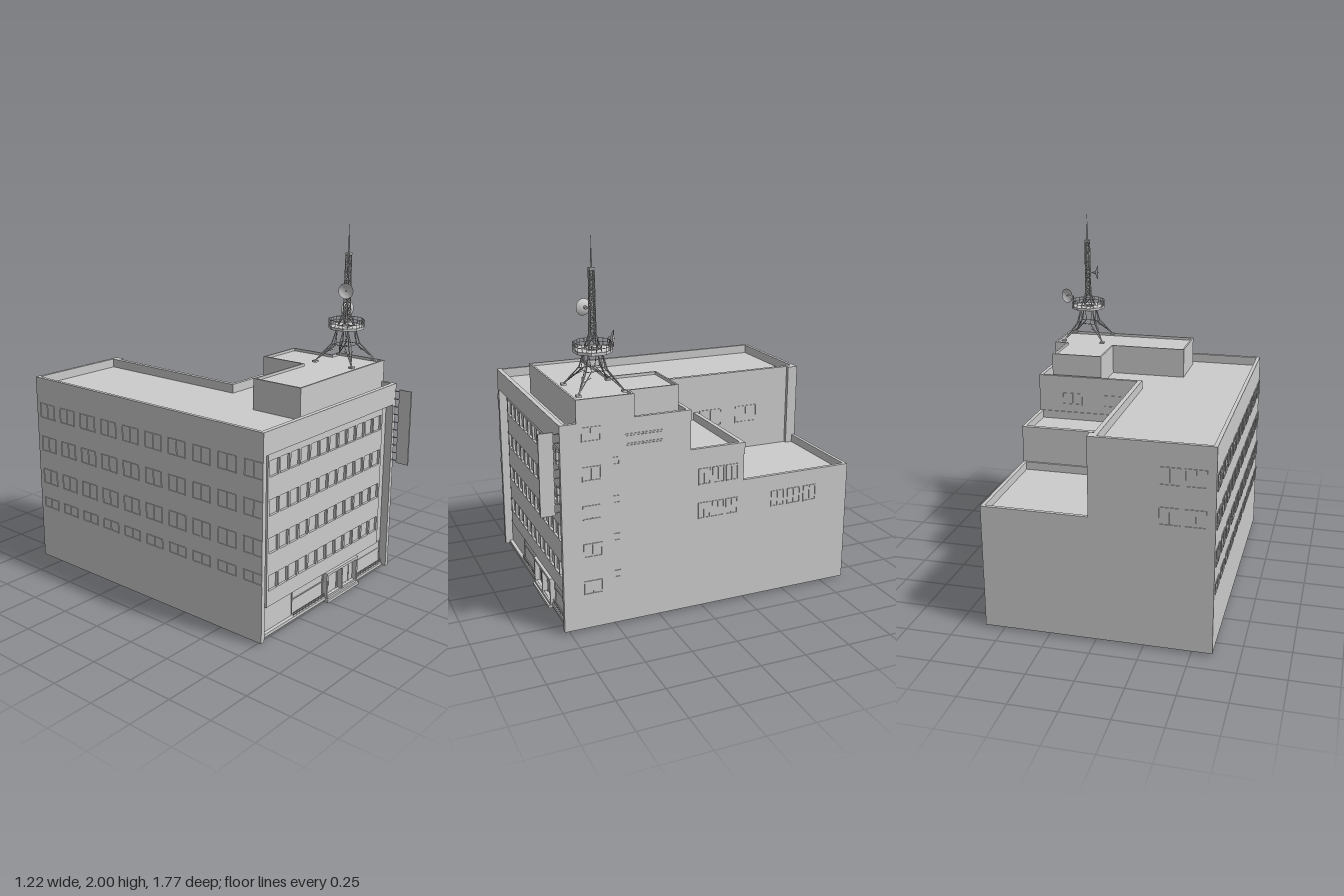
import * as THREE from 'three';

const material = new THREE.MeshStandardMaterial({ color: 0xcccccc, flatShading: true, side: THREE.DoubleSide });
const smooth = new THREE.MeshStandardMaterial({ color: 0xcccccc, side: THREE.DoubleSide });

function add(parent, name, geometry, mat = material) {
  const mesh = new THREE.Mesh(geometry, mat);
  mesh.name = name;
  parent.add(mesh);
  return mesh;
}

// Box given by its limits on each axis
function box(parent, name, x0, x1, y0, y1, z0, z1) {
  const mesh = add(parent, name, new THREE.BoxGeometry(x1 - x0, y1 - y0, z1 - z0));
  mesh.position.set((x0 + x1) / 2, (y0 + y1) / 2, (z0 + z1) / 2);
  return mesh;
}

// Plan outline of [x, z] corners raised from y0 to y1, with an optional hole
function slab(parent, name, outline, y0, y1, hole) {
  const points = (list) => list.map(([x, z]) => new THREE.Vector2(x, -z));
  const shape = new THREE.Shape(points(outline));
  if (hole) shape.holes.push(new THREE.Path(points(hole)));
  const geometry = new THREE.ExtrudeGeometry(shape, { depth: y1 - y0, bevelEnabled: false });
  geometry.rotateX(-Math.PI / 2).translate(0, y0, 0);
  return add(parent, name, geometry);
}

const rect = (x0, x1, z0, z1) => [[x0, z0], [x1, z0], [x1, z1], [x0, z1]];

function rectPath(x, y, w, h, Type = THREE.Path) {
  return new Type([[x, y], [x + w, y], [x + w, y + h], [x, y + h]].map(([a, b]) => new THREE.Vector2(a, b)));
}

// Thin round bar between two points
function bar(parent, name, a, b, r, sides = 5) {
  const from = new THREE.Vector3(...a), to = new THREE.Vector3(...b);
  const dir = to.clone().sub(from);
  const mesh = add(parent, name, new THREE.CylinderGeometry(r, r, dir.length(), sides));
  mesh.position.copy(from).add(to).multiplyScalar(0.5);
  mesh.quaternion.setFromUnitVectors(new THREE.Vector3(0, 1, 0), dir.normalize());
  return mesh;
}

// Framed window with panes, centred on a point of a wall turned by angle about y
function windowFrame(parent, x, y, z, angle, w, h, panes = 2) {
  const shape = rectPath(-w / 2, -h / 2, w, h, THREE.Shape);
  const t = 0.005, pane = (w - t) / panes;
  for (let i = 0; i < panes; i++) shape.holes.push(rectPath(-w / 2 + t + i * pane, -h / 2 + t, pane - t, h - 2 * t));
  const mesh = add(parent, 'window', new THREE.ExtrudeGeometry(shape, { depth: 0.005, bevelEnabled: false }));
  mesh.geometry.translate(0, 0, -0.001);
  mesh.position.set(x, y, z);
  mesh.rotation.y = angle;
}

function buildBody(g) {
  // Main L-shaped block, then the stepped rear wings
  slab(g, 'mainBlock', [[-0.61, 0.735], [0.6, 0.735], [0.6, 0.1], [0, 0.1], [0, -0.88], [-0.61, -0.88]], 0.02, 1.07);
  slab(g, 'mainParapet',
    [[-0.61, 0.78], [0.6, 0.78], [0.6, 0.08], [0.01, 0.08], [0.01, -0.82], [0.03, -0.82], [0.03, -0.88], [-0.61, -0.88]], 1.0, 1.12,
    [[-0.59, 0.755], [0.58, 0.755], [0.58, 0.1], [-0.015, 0.1], [-0.015, -0.86], [-0.59, -0.86]]);
  box(g, 'rearPier', 0, 0.03, 0.6, 1.0, -0.88, -0.82);
  box(g, 'innerWall', -0.015, 0.01, 0.02, 1.0, -0.88, 0.1);
  box(g, 'crossWall', 0, 0.6, 0.02, 1.0, 0.08, 0.11);
  box(g, 'middleWing', 0, 0.6, 0.02, 0.86, -0.23, 0.09);
  slab(g, 'middleParapet', rect(0.005, 0.6, -0.235, 0.09), 0.84, 0.905, rect(0.01, 0.58, -0.21, 0.075));
  box(g, 'rearWing', 0, 0.6, 0.02, 0.65, -0.88, -0.22);
  slab(g, 'rearParapet', rect(0.005, 0.6, -0.88, -0.225), 0.63, 0.695, rect(0.01, 0.58, -0.86, -0.24));
  slab(g, 'baseRim', rect(-0.61, 0.6, -0.88, 0.755), 0.013, 0.03, rect(-0.59, 0.58, -0.86, 0.735));

  // Penthouse
  slab(g, 'penthouse', [[-0.2, 0.695], [0.6, 0.695], [0.6, 0.39], [0.53, 0.39], [0.53, 0.12], [0.235, 0.12], [0.235, 0.39], [-0.2, 0.39]], 1.05, 1.225);
  slab(g, 'penthouseRim',
    [[-0.2, 0.695], [0.6, 0.695], [0.6, 0.39], [0.53, 0.39], [0.53, 0.12], [0.235, 0.12], [0.235, 0.39], [-0.2, 0.39]], 1.22, 1.24,
    [[-0.19, 0.685], [0.59, 0.685], [0.59, 0.4], [0.52, 0.4], [0.52, 0.13], [0.245, 0.13], [0.245, 0.4], [-0.19, 0.4]]);
}

function buildFront(g) {
  box(g, 'topBand', -0.61, 0.6, 1.0, 1.07, 0.72, 0.78);
  box(g, 'rightFin', -0.61, -0.585, 0.013, 1.0, 0.72, 0.78);
  box(g, 'leftFin', 0.575, 0.6, 0.013, 1.0, 0.72, 0.78);

  // Facade plate with four rows of windows
  const plate = rectPath(-0.53, 0.17, 1.05, 0.83, THREE.Shape);
  for (let row = 0; row < 4; row++)
    for (let i = 0; i < 12; i++) plate.holes.push(rectPath(-0.515 + i * 0.086, 0.255 + row * 0.203, 0.074, 0.085));
  add(g, 'windowFacade', new THREE.ExtrudeGeometry(plate, { depth: 0.015, bevelEnabled: false })).position.z = 0.733;

  // Entrance porch and doors
  box(g, 'entranceStep', -0.01, 0.295, 0, 0.016, 0.71, 0.775);
  box(g, 'entranceLanding', 0, 0.285, 0.016, 0.028, 0.71, 0.765);
  box(g, 'porchCanopy', -0.01, 0.295, 0.155, 0.17, 0.73, 0.765);
  for (const x of [-0.01, 0.135, 0.283]) box(g, 'porchPier', x, x + 0.012, 0.02, 0.16, 0.73, 0.763);
  for (const x of [0.0825, 0.2025]) windowFrame(g, x, 0.083, 0.735, 0, 0.085, 0.115, 1);

  // Ground floor shop windows with low railings
  for (const [x0, x1] of [[-0.3, -0.015], [0.3, 0.57]]) {
    windowFrame(g, (x0 + x1) / 2, 0.1, 0.735, 0, x1 - x0, 0.135, 1);
    windowFrame(g, (x0 + x1) / 2, 0.143, 0.735, 0, x1 - x0, 0.05, 1);
    for (const y of [0.038, 0.05]) bar(g, 'railing', [x0, y, 0.75], [x1, y, 0.75], 0.002);
    for (let i = 0; i <= 10; i++) {
      const x = x0 + (x1 - x0) * i / 10;
      bar(g, 'railingPost', [x, 0.025, 0.75], [x, 0.052, 0.75], 0.0015);
    }
  }

  // Projecting blank sign panel on brackets
  box(g, 'signPanel', 0.584, 0.593, 0.66, 1.09, 0.81, 0.885);
  for (let i = 0; i < 10; i++) box(g, 'signBracket', 0.586, 0.591, 0.67 + i * 0.045, 0.675 + i * 0.045, 0.77, 0.815);
}

function buildWindows(g) {
  const R = Math.PI / 2;
  // Long side wall
  for (const y of [0.925, 0.725, 0.525, 0.36])
    for (let i = 0; i < 10; i++) windowFrame(g, -0.61, y, -0.79 + i * 0.168, -R, 0.12, y < 0.4 ? 0.06 : 0.09);
  // Stair side wall
  for (let i = 0; i < 5; i++) {
    windowFrame(g, 0.6, 0.24 + i * 0.205, 0.62, R, 0.1, 0.075);
    if (i < 4) windowFrame(g, 0.6, 0.29 + i * 0.205, 0.49, R, 0.035, 0.04, 1);
  }
  for (const y of [0.98, 1.03]) windowFrame(g, 0.6, y, 0.34, R, 0.2, 0.015, 4);
  // Rear wings
  for (const z of [0.0, -0.08, -0.16]) for (const y of [0.56, 0.75]) windowFrame(g, 0.6, y, z, R, 0.07, 0.09);
  for (const z of [-0.44, -0.54, -0.64]) windowFrame(g, 0.6, 0.56, z, R, 0.08, 0.09);
  // Walls above the terraces, and the back
  for (const y of [0.95, 0.74]) for (const x of [-0.51, -0.38]) windowFrame(g, x, y, -0.88, Math.PI, 0.11, 0.095);
  for (const z of [-0.32, -0.55]) windowFrame(g, 0.01, 0.86, z, R, 0.14, 0.1);
  for (const x of [0.15, 0.4]) windowFrame(g, x, 0.985, 0.08, Math.PI, 0.12, 0.07);
}

function dish(parent, name, position, direction, mount) {
  const profile = [[0, 0], [0.016, 0.002], [0.03, 0.007], [0.043, 0.016]].map(([x, y]) => new THREE.Vector2(x, y));
  const d = new THREE.Group();
  d.name = name;
  add(d, 'dishBowl', new THREE.LatheGeometry(profile, 20), smooth);
  bar(d, 'feedHorn', [0, 0, 0], [0, 0.022, 0], 0.002);
  bar(d, 'dishHub', [0, -0.012, 0], [0, 0.002, 0], 0.009, 8);
  d.position.set(...position);
  d.quaternion.setFromUnitVectors(new THREE.Vector3(0, 1, 0), new THREE.Vector3(...direction).normalize());
  parent.add(d);
  bar(parent, 'dishArm', mount, position, 0.003);
}

function buildTower(g) {
  const corners = [[1, 1], [-1, 1], [-1, -1], [1, -1]];
  const at = (c, r, y) => [c[0] * r, y, c[1] * r];
  corners.forEach((c, i) => {
    const next = corners[(i + 1) % 4];
    // Splayed leg with inner and outer chords
    box(g, 'footPad', c[0] * 0.12 - 0.013, c[0] * 0.12 + 0.013, 1.24, 1.25, c[1] * 0.12 - 0.013, c[1] * 0.12 + 0.013);
    const foot = at(c, 0.12, 1.248), knee = at(c, 0.055, 1.345);
    bar(g, 'legChord', foot, knee, 0.0035);
    bar(g, 'legChord', knee, at(c, 0.034, 1.44), 0.0035);
    bar(g, 'legChord', at(c, 0.034, 1.44), at(c, 0.014, 1.52), 0.0035);
    for (const s of [[c[0] * 0.028, c[1] * 0.055], [c[0] * 0.055, c[1] * 0.028]]) {
      bar(g, 'legBrace', foot, [s[0], 1.34, s[1]], 0.0025);
      bar(g, 'legBrace', [s[0], 1.34, s[1]], at(c, 0.034, 1.43), 0.002);
      bar(g, 'legBrace', at(c, 0.088, 1.296), [s[0] * 1.3, 1.315, s[1] * 1.3], 0.002);
    }
    for (const [r, y] of [[0.055, 1.34], [0.034, 1.44], [0.02, 1.5]]) bar(g, 'towerTie', at(c, r, y), at(next, r, y), 0.002);
    bar(g, 'towerBrace', at(c, 0.034, 1.44), at(next, 0.02, 1.5), 0.002);
    // Lattice mast
    bar(g, 'mastChord', at(c, 0.014, 1.5), at(c, 0.011, 1.84), 0.003);
    for (let k = 0; k < 14; k++) {
      const y = 1.5 + k * 0.0243;
      bar(g, 'mastTie', at(c, 0.013, y), at(next, 0.013, y), 0.0015, 4);
      bar(g, 'mastBrace', at(k % 2 ? c : next, 0.013, y), at(k % 2 ? next : c, 0.012, y + 0.0243), 0.0015, 4);
    }
  });
  // Octagonal platform with railing
  const ring = (r) => Array.from({ length: 8 }, (_, i) => {
    const a = (i + 0.5) * Math.PI / 4;
    return [r * Math.cos(a), r * Math.sin(a)];
  });
  const edge = ring(0.1);
  slab(g, 'platform', edge, 1.428, 1.443, ring(0.035));
  edge.forEach(([x, z], i) => {
    const [nx, nz] = edge[(i + 1) % 8];
    for (const y of [1.462, 1.48]) bar(g, 'platformRail', [x, y, z], [nx, y, nz], 0.0018);
    for (const t of [0, 0.33, 0.67]) {
      const px = x + (nx - x) * t, pz = z + (nz - z) * t;
      bar(g, 'platformPost', [px, 1.44, pz], [px, 1.48, pz], 0.0015);
    }
  });
  // Mast head and antenna
  box(g, 'mastCap', -0.014, 0.014, 1.835, 1.846, -0.014, 0.014);
  bar(g, 'antenna', [0, 1.84, 0], [0, 1.94, 0], 0.004, 8);
  bar(g, 'antennaTip', [0, 1.94, 0], [0, 2, 0], 0.0015);
  dish(g, 'upperDish', [-0.042, 1.645, 0.022], [-0.95, 0, 0.25], [-0.01, 1.645, 0.01]);
  dish(g, 'lowerDish', [0.106, 1.513, -0.055], [0.4, 0, -0.9], [0.07, 1.48, -0.07]);
  bar(g, 'dishPost', [0.075, 1.44, -0.065], [0.075, 1.515, -0.065], 0.003);
}

export function createModel() {
  const model = new THREE.Group();
  model.name = 'officeBuilding';
  const parts = { body: buildBody, front: buildFront, windows: buildWindows, radioTower: buildTower };
  for (const [name, build] of Object.entries(parts)) {
    const group = new THREE.Group();
    group.name = name;
    build(group);
    model.add(group);
  }
  model.getObjectByName('radioTower').position.set(0.432, 0, 0.543);
  return model;
}
